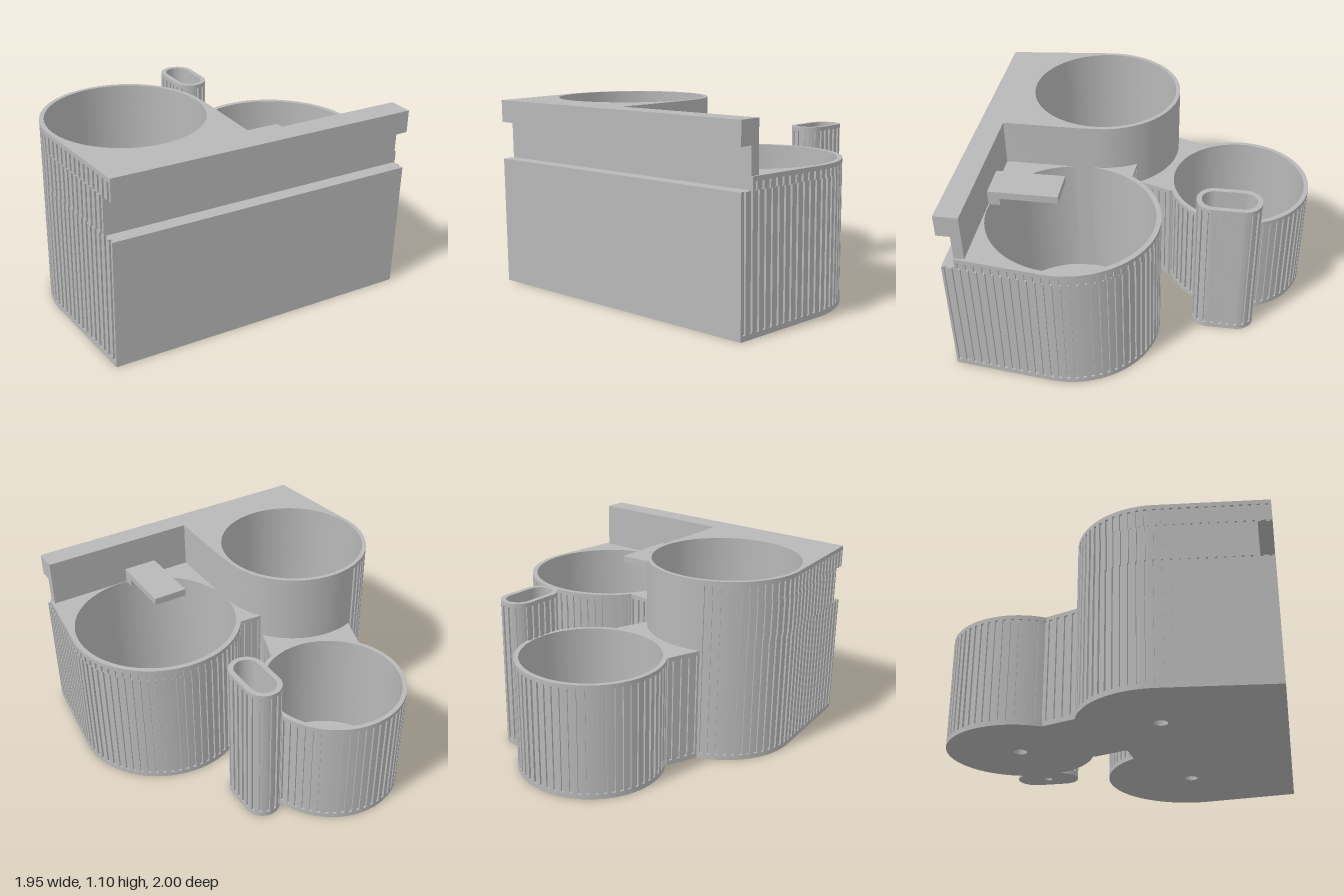
import * as THREE from 'three';
import { toCreasedNormals } from 'three/addons/utils/BufferGeometryUtils.js';

// Plan points are Vector2(x, -z), outlines run counter-clockwise.
const P = (x, z) => new THREE.Vector2(x, -z);

function arc(cx, cz, r, a0, a1) {
  const n = Math.max(2, Math.ceil(Math.abs(a1 - a0) / 0.065));
  return Array.from({ length: n + 1 }, (_, i) => {
    const a = a0 + (a1 - a0) * i / n;
    return P(cx + r * Math.cos(a), cz + r * Math.sin(a));
  });
}

// Turn a plain path into one with square flutes cut inwards.
function flute(path, pitch = 0.048, depth = 0.012) {
  const lengths = [0];
  for (let i = 1; i < path.length; i++) lengths.push(lengths[i - 1] + path[i].distanceTo(path[i - 1]));
  const total = lengths[lengths.length - 1];
  const at = (s, inset) => {
    let i = 1;
    while (i < path.length - 1 && lengths[i] < s) i++;
    const d = path[i].clone().sub(path[i - 1]);
    const p = path[i - 1].clone().addScaledVector(d, (s - lengths[i - 1]) / (lengths[i] - lengths[i - 1]));
    d.normalize();
    return p.add(new THREE.Vector2(-d.y, d.x).multiplyScalar(inset));
  };
  const n = Math.max(1, Math.round(total / pitch)), step = total / n, out = [];
  for (let k = 0; k < n; k++) {
    const s = k * step;
    out.push(at(s, 0), at(s + step * 0.3, 0), at(s + step * 0.3, depth), at(s + step * 0.7, depth), at(s + step * 0.7, 0));
  }
  out.push(at(total, 0));
  return out;
}

const plain = path => path;

export function createModel() {
  const model = new THREE.Group();
  const grey = new THREE.MeshStandardMaterial({ color: 0xb8b8b8 });
  grey.name = 'plain grey';

  const add = (parent, name, outline, y0, y1, hole) => {
    const clean = outline.filter((p, i) => p.distanceTo(outline[(i + 1) % outline.length]) > 1e-5);
    const shape = new THREE.Shape(clean);
    if (hole) shape.holes.push(new THREE.Path(hole.slice(0, -1)));
    const geo = new THREE.ExtrudeGeometry(shape, { depth: y1 - y0, bevelEnabled: false });
    geo.rotateX(-Math.PI / 2).translate(0, y0, 0);
    const mesh = new THREE.Mesh(toCreasedNormals(geo, 0.3), grey);
    mesh.name = name;
    parent.add(mesh);
  };
  const part = name => {
    const g = new THREE.Group();
    g.name = name;
    model.add(g);
    return g;
  };
  const circle = (x, z, r) => arc(x, z, r, 0, -2 * Math.PI);
  // x of the tapered sides at depth z
  const sideX = z => 0.905 + (1 - z) * 0.11;
  const FLOOR = 0.03, RIM = 0.025;

  // Tall cup with its front block, notched along the front
  const tall = part('tallCup');
  const tallOutline = (style, front) => [
    ...arc(-0.505, 0.315, 0.47, 0, -1.886),
    ...style([...arc(-0.505, 0.315, 0.47, -1.886, -Math.PI - 0.11), P(-sideX(front), front)]),
    P(-0.03, front), P(-0.03, 0.4),
  ];
  const tallWell = circle(-0.505, 0.315, 0.445);
  add(tall, 'tallFloor', tallOutline(plain, 1), 0, FLOOR, circle(-0.505, 0.315, 0.04));
  add(tall, 'tallWall', tallOutline(flute, 1), FLOOR, 0.75, tallWell);
  add(tall, 'tallNotch', tallOutline(flute, 0.92), 0.75, 0.97, tallWell);
  add(tall, 'tallUpperWall', tallOutline(flute, 1), 0.97, 1.1 - RIM, tallWell);
  add(tall, 'tallRim', tallOutline(plain, 1), 1.1 - RIM, 1.1, tallWell);

  // Wide cup with its front block
  const wide = part('wideCup');
  const wideOutline = (style, front) => [
    ...style([P(sideX(front), front), ...arc(0.455, 0.365, 0.52, 0.12, -2.53)]),
    ...arc(0.455, 0.365, 0.52, -2.53, -Math.PI),
    P(-0.06, 0.42), P(-0.06, front),
  ];
  const wideWell = circle(0.455, 0.365, 0.49);
  add(wide, 'wideFloor', wideOutline(plain, 1), 0, FLOOR, circle(0.455, 0.365, 0.04));
  add(wide, 'wideWall', wideOutline(flute, 1), FLOOR, 0.75, wideWell);
  add(wide, 'wideNotch', wideOutline(flute, 0.92), 0.75, 0.82 - RIM, wideWell);
  add(wide, 'wideRim', wideOutline(plain, 0.92), 0.82 - RIM, 0.82, wideWell);

  // Low round cup and slim oval holder
  const simpleCup = (name, outline, well, drain, height) => {
    const g = part(name);
    add(g, name + 'Floor', outline, 0, FLOOR, drain);
    add(g, name + 'Wall', flute(outline), FLOOR, height - RIM, well);
    add(g, name + 'Rim', outline, height - RIM, height, well);
  };
  simpleCup('lowCup', circle(-0.21, -0.565, 0.432), circle(-0.21, -0.565, 0.405), circle(-0.21, -0.565, 0.04), 0.68);
  const oval = r => {
    const pts = [...arc(0.305, -0.445, r, Math.PI, 0), ...arc(0.305, -0.615, r, 0, -Math.PI)];
    return [...pts, pts[0].clone()];
  };
  simpleCup('ovalHolder', oval(0.105), oval(0.075), circle(0.305, -0.53, 0.025), 0.91);

  // Webs filling the gaps between the cups
  const web = (name, outline, height) => {
    const g = part(name);
    add(g, name + 'Base', outline(plain), 0, FLOOR);
    add(g, name + 'Wall', outline(flute), FLOOR, height - RIM);
    add(g, name + 'Top', outline(plain), height - RIM, height);
  };
  web('backWeb', style => [
    ...arc(-0.505, 0.315, 0.46, -1.886, -0.591),
    ...style([P(-0.125, 0.06), P(-0.05, -0.15)]),
    ...arc(-0.21, -0.565, 0.42, 1.203, 2.576),
    ...style([P(-0.58, -0.33), P(-0.65, -0.13)]),
  ], 0.68);
  web('middleWeb', style => [
    ...style([P(0.03, 0.07), P(-0.11, 0.06)]),
    ...arc(-0.505, 0.315, 0.46, -0.55, -0.15),
    ...arc(0.455, 0.365, 0.51, -2.95, -2.53),
  ], 0.82);

  // Hooked rail along the front
  const rect = (x0, x1, z0, z1) => [P(x0, z1), P(x1, z1), P(x1, z0), P(x0, z0)];
  const rail = part('frontRail');
  add(rail, 'railWeb', rect(-0.04, 0.905, 0.86, 0.92), 0.8, 0.97);
  add(rail, 'railLip', rect(-0.04, 0.905, 0.86, 1), 0.97, 1.1);

  // Tab reaching back over the wide cup, with a small block beneath
  add(rail, 'tab', rect(0.2, 0.41, 0.445, 0.87), 0.865, 0.91);
  add(rail, 'tabSupport', rect(0.2, 0.41, 0.79, 0.87), 0.82, 0.865);
  return model;
}
